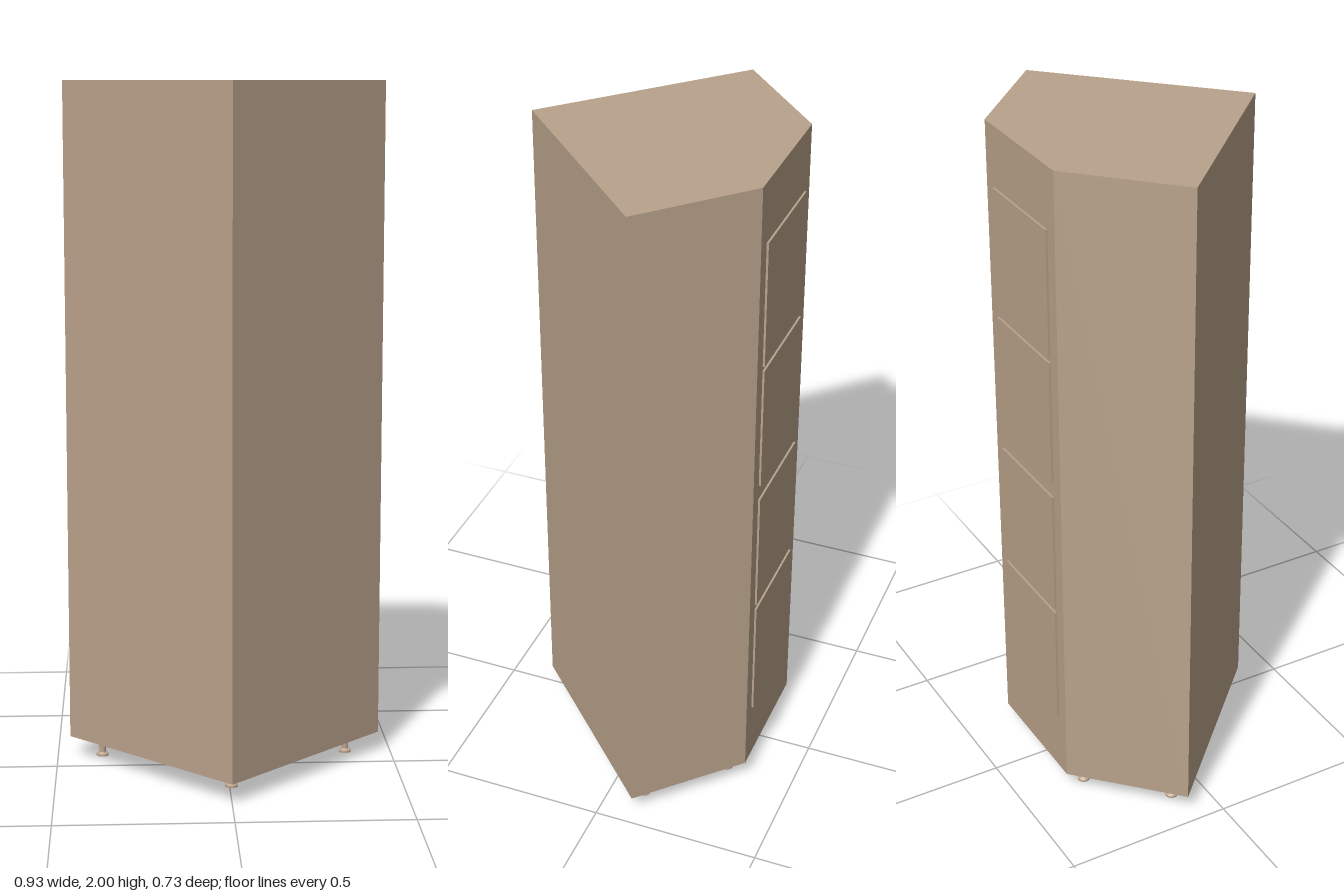
import * as THREE from 'three';

export function createModel() {
  const group = new THREE.Group();
  group.name = 'cornerCabinet';
  const wood = new THREE.MeshStandardMaterial({ color: 0xb9a28b });
  wood.name = 'beige wood';

  const add = (name, geometry, x, y, z) => {
    const mesh = new THREE.Mesh(geometry, wood);
    mesh.name = name;
    mesh.position.set(x, y, z);
    group.add(mesh);
  };

  // Five-sided cabinet body, outline drawn as (x, -z) and extruded upwards
  const outline = new THREE.Shape([
    [0, -0.362], [0.463, 0.1], [0.195, 0.36], [-0.195, 0.36], [-0.463, 0.1],
  ].map(([x, y]) => new THREE.Vector2(x, y)));
  const body = new THREE.ExtrudeGeometry(outline, { depth: 1.94, bevelEnabled: false });
  body.rotateX(-Math.PI / 2);
  add('cabinetBody', body, 0, 0.06, 0);

  // Four thin raised panels on the narrow face
  const panel = new THREE.BoxGeometry(0.307, 0.374, 0.006);
  [0.435, 0.825, 1.247, 1.635].forEach((y, i) => add(`panel${i + 1}`, panel, -0.001, y, -0.363));

  // Small round feet with a flared base
  const foot = new THREE.LatheGeometry([
    [0, 0], [0.018, 0], [0.018, 0.006], [0.01, 0.012], [0.01, 0.06],
  ].map(([r, y]) => new THREE.Vector2(r, y)), 16).toNonIndexed();
  foot.computeVertexNormals();
  [[0.005, 0.2], [0.363, -0.1], [-0.367, -0.1], [0.167, -0.292], [-0.173, -0.292]]
    .forEach(([x, z], i) => add(`foot${i + 1}`, foot, x, 0, z));

  return group;
}
